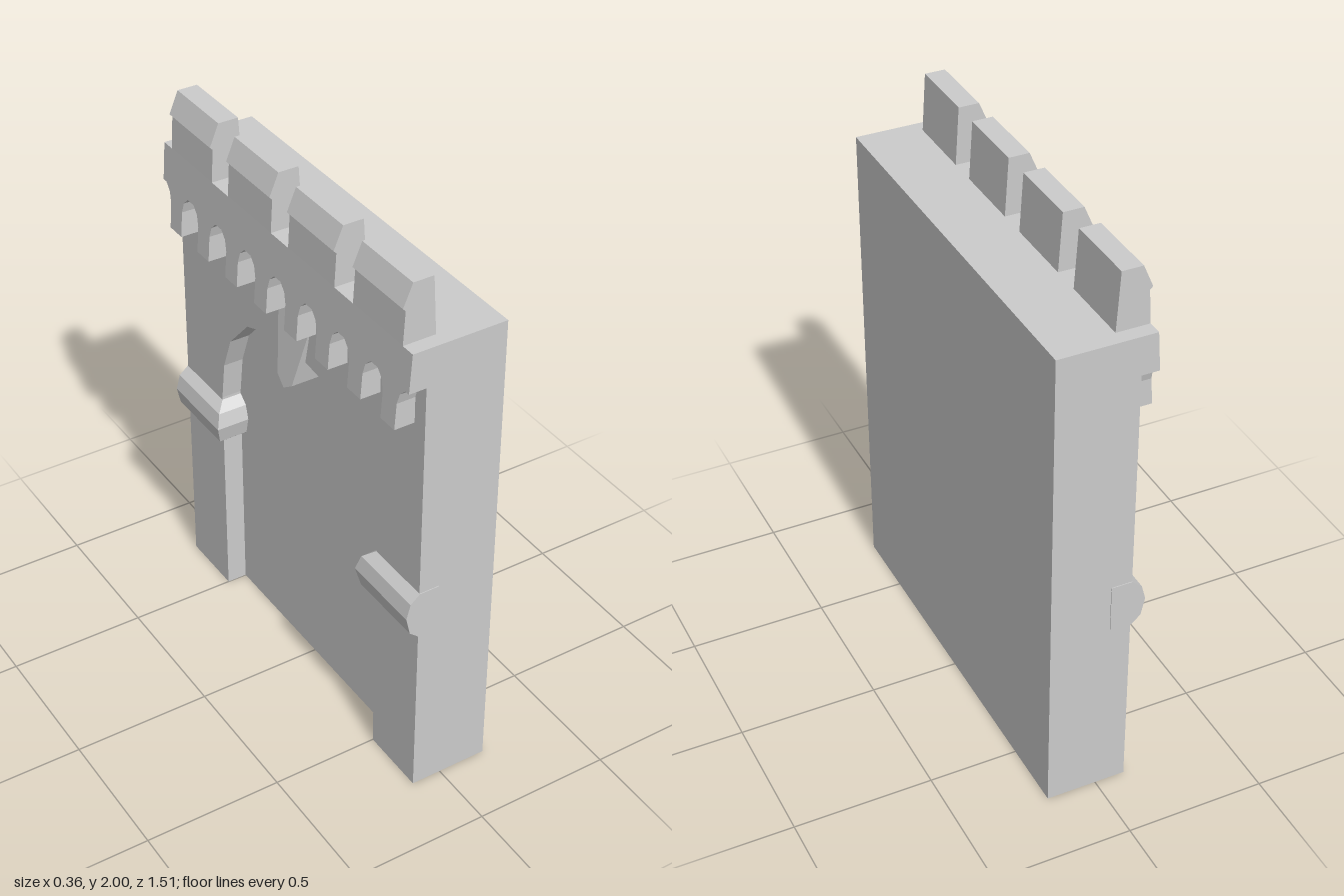
import * as THREE from 'three';

const material = new THREE.MeshStandardMaterial({ color: 0xcccccc, flatShading: true });
const FACE = -0.11, RECESS = -0.035, BACK = 0.18, HALF = 0.75, TOP = 1.79;

function addMesh(group, name, geometry) {
  const mesh = new THREE.Mesh(geometry, material);
  mesh.name = name;
  group.add(mesh);
  return mesh;
}

// Extrudes a (z, y) outline from x = back towards -x; front(y) gives the front plane.
function slab(outline, back, front) {
  const shape = new THREE.Shape(outline.map(([z, y]) => new THREE.Vector2(z, y)));
  const geometry = new THREE.ExtrudeGeometry(shape, { depth: 1, bevelEnabled: false });
  geometry.rotateY(-Math.PI / 2);
  const p = geometry.attributes.position;
  for (let i = 0; i < p.count; i++) p.setX(i, p.getX(i) < -0.5 ? front(p.getY(i)) : back);
  geometry.computeVertexNormals();
  return geometry;
}

// Squared impost block that bulges over the face and into the opening.
function impost(side) {
  const levels = [[0.67, 0], [0.70, 0.035], [0.765, 0.05], [0.82, 0.035], [0.85, 0]];
  const geometry = new THREE.BoxGeometry(1, 4, 1, 1, 4, 1).toNonIndexed();
  const p = geometry.attributes.position;
  for (let i = 0; i < p.count; i++) {
    const [y, bulge] = levels[Math.round(p.getY(i) + 2)];
    const outer = p.getZ(i) * side > 0;
    p.setXYZ(i, p.getX(i) < 0 ? FACE - bulge : RECESS, y, side * (outer ? HALF + 0.003 : 0.5 - bulge));
  }
  geometry.computeVertexNormals();
  return geometry;
}

export function createModel() {
  const model = new THREE.Group();
  model.name = 'battlementedWall';

  // Solid backing wall, which closes the archway
  const wall = addMesh(model, 'backWall', new THREE.BoxGeometry(BACK - RECESS, TOP, HALF * 2));
  wall.position.set((BACK + RECESS) / 2, TOP / 2, 0);

  // Front layer with the blind arch cut out
  const arch = [[0.5, 0], [0.5, 0.86], [0.48, 1.01], [0.43, 1.14], [0.31, 1.27], [0.14, 1.335]];
  const mirrored = arch.map(([z, y]) => [-z, y]).reverse();
  addMesh(model, 'archFront', slab(
    [[HALF, 0], [HALF, TOP], [-HALF, TOP], [-HALF, 0], ...mirrored.reverse(), [0, 1.35], ...arch.reverse()],
    RECESS, () => FACE));

  // Imposts at the springing of the arch
  for (const side of [-1, 1]) addMesh(model, side > 0 ? 'leftImpost' : 'rightImpost', impost(side));

  // Pointed keystone leaning out from the wall
  addMesh(model, 'keystone', slab(
    [[0, 1.22], [0.045, 1.25], [0.1, 1.5], [-0.1, 1.5], [-0.045, 1.25]],
    RECESS, (y) => FACE - 0.045 * (1.5 - y) / 0.28));

  // Overhanging parapet with a row of small arches between corbels
  const pitch = HALF * 2 / 8, r = 0.056;
  const gap = [[-r, 1.49], [-r, 1.585], [-r * 0.8, 1.625], [-r * 0.35, 1.65],
    [r * 0.35, 1.65], [r * 0.8, 1.625], [r, 1.585], [r, 1.49]];
  const lower = [];
  for (let i = 0; i <= 8; i++) {
    const z0 = -HALF + i * pitch;
    if (i === 0) lower.push([-HALF, 1.65]);
    for (const [z, y] of gap) if (Math.abs(z0 + z) < HALF) lower.push([z0 + z, y]);
    if (i === 8) lower.push([HALF, 1.65]);
  }
  addMesh(model, 'parapet', slab(
    [...lower, [HALF, TOP], [-HALF, TOP]], FACE, (y) => -0.163 - 0.07 * (TOP - y)));

  // Merlons with a chamfered, slightly projecting top
  const profile = new THREE.Shape([[-0.045, TOP], [-0.058, 2], [-0.132, 2], [-0.166, 1.92],
    [-0.156, 1.91], [-0.163, TOP]].map(([x, y]) => new THREE.Vector2(x, y)));
  const merlonGeometry = new THREE.ExtrudeGeometry(profile, { depth: 0.27, bevelEnabled: false });
  for (let i = 0; i < 4; i++) {
    addMesh(model, 'merlon' + (i + 1), merlonGeometry).position.z = -0.6975 + i * 0.375;
  }
  return model;
}
